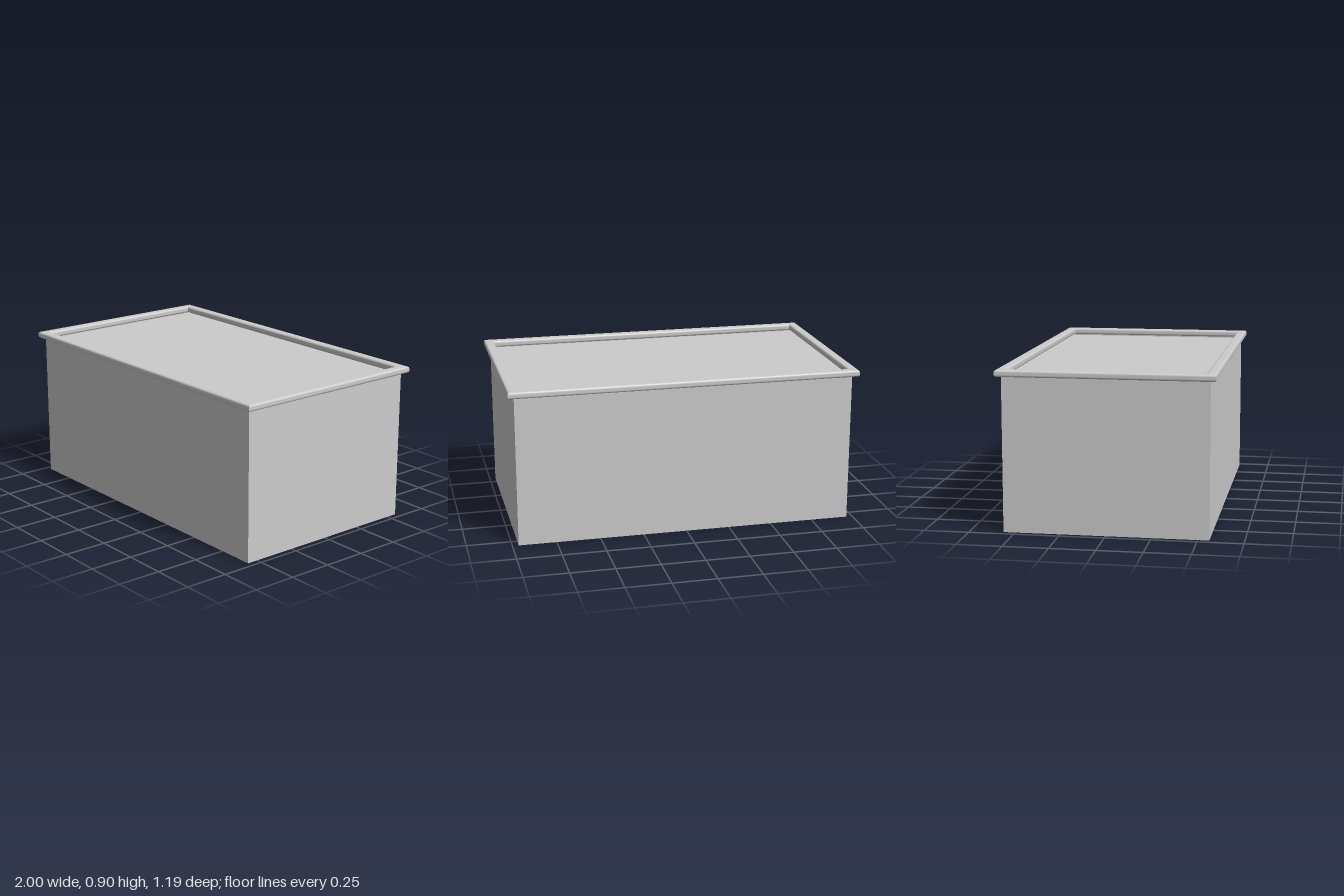
import * as THREE from 'three';

const WALL_X = 0.965, WALL_Z = 0.563, WALL_TOP = 0.88;
const RIM_X = 1, RIM_Z = 0.593, RIM_WIDTH = 0.056;
const RIM_BOTTOM = 0.858, RIM_TOP = 0.896, PANEL_Y = 0.85;

// Sweeps a closed profile of [inset, y] points round a rectangle, with mitred corners
function mitredFrame(hx, hz, profile) {
  const corners = [[-1, 1], [1, 1], [1, -1], [-1, -1]];
  const positions = [], indices = [];
  const n = profile.length;
  corners.forEach((a, side) => {
    const base = positions.length / 3;
    const b = corners[(side + 1) % 4];
    for (const [sx, sz] of [a, b])
      for (const [inset, y] of profile) positions.push(sx * (hx - inset), y, sz * (hz - inset));
    for (let j = 0; j < n; j++) {
      const k = (j + 1) % n;
      const a0 = base + j, a1 = base + k, b0 = a0 + n, b1 = a1 + n;
      indices.push(a0, b0, b1, a0, b1, a1);
    }
  });
  const geometry = new THREE.BufferGeometry();
  geometry.setAttribute('position', new THREE.Float32BufferAttribute(positions, 3));
  geometry.setIndex(indices);
  geometry.computeVertexNormals();
  return geometry;
}

// Rounded rectangle, starting at the lower outer corner and rising up the outside
function rimProfile() {
  const r = 0.012, steps = 5, points = [];
  const centres = [
    [r, RIM_BOTTOM + r, -90],
    [r, RIM_TOP - r, 0],
    [RIM_WIDTH - r, RIM_TOP - r, 90],
    [RIM_WIDTH - r, RIM_BOTTOM + r, 180],
  ];
  for (const [inset, y, start] of centres)
    for (let i = 0; i <= steps; i++) {
      const t = THREE.MathUtils.degToRad(start + (90 * i) / steps);
      points.push([inset - r * Math.cos(t), y + r * Math.sin(t)]);
    }
  return points;
}

export function createModel() {
  const group = new THREE.Group();
  const solid = new THREE.MeshStandardMaterial({ color: 0xcccccc });
  const thin = new THREE.MeshStandardMaterial({ color: 0xcccccc, side: THREE.DoubleSide });

  const add = (name, geometry, material) => {
    const mesh = new THREE.Mesh(geometry, material);
    mesh.name = name;
    group.add(mesh);
    return mesh;
  };

  // Four thin side walls, open underneath
  const walls = [
    ['frontWall', WALL_X, WALL_Z, 0],
    ['leftWall', WALL_Z, WALL_X, Math.PI / 2],
    ['backWall', WALL_X, WALL_Z, Math.PI],
    ['rightWall', WALL_Z, WALL_X, -Math.PI / 2],
  ];
  for (const [name, half, distance, angle] of walls) {
    const geometry = new THREE.PlaneGeometry(half * 2, WALL_TOP);
    geometry.translate(0, WALL_TOP / 2, distance).rotateY(angle);
    add(name, geometry, thin);
  }

  // Recessed top panel
  const panel = new THREE.PlaneGeometry(WALL_X * 2, WALL_Z * 2);
  panel.rotateX(-Math.PI / 2).translate(0, PANEL_Y, 0);
  add('topPanel', panel, thin);

  // Rounded rim round the top edge
  add('rim', mitredFrame(RIM_X, RIM_Z, rimProfile()), solid);

  return group;
}
